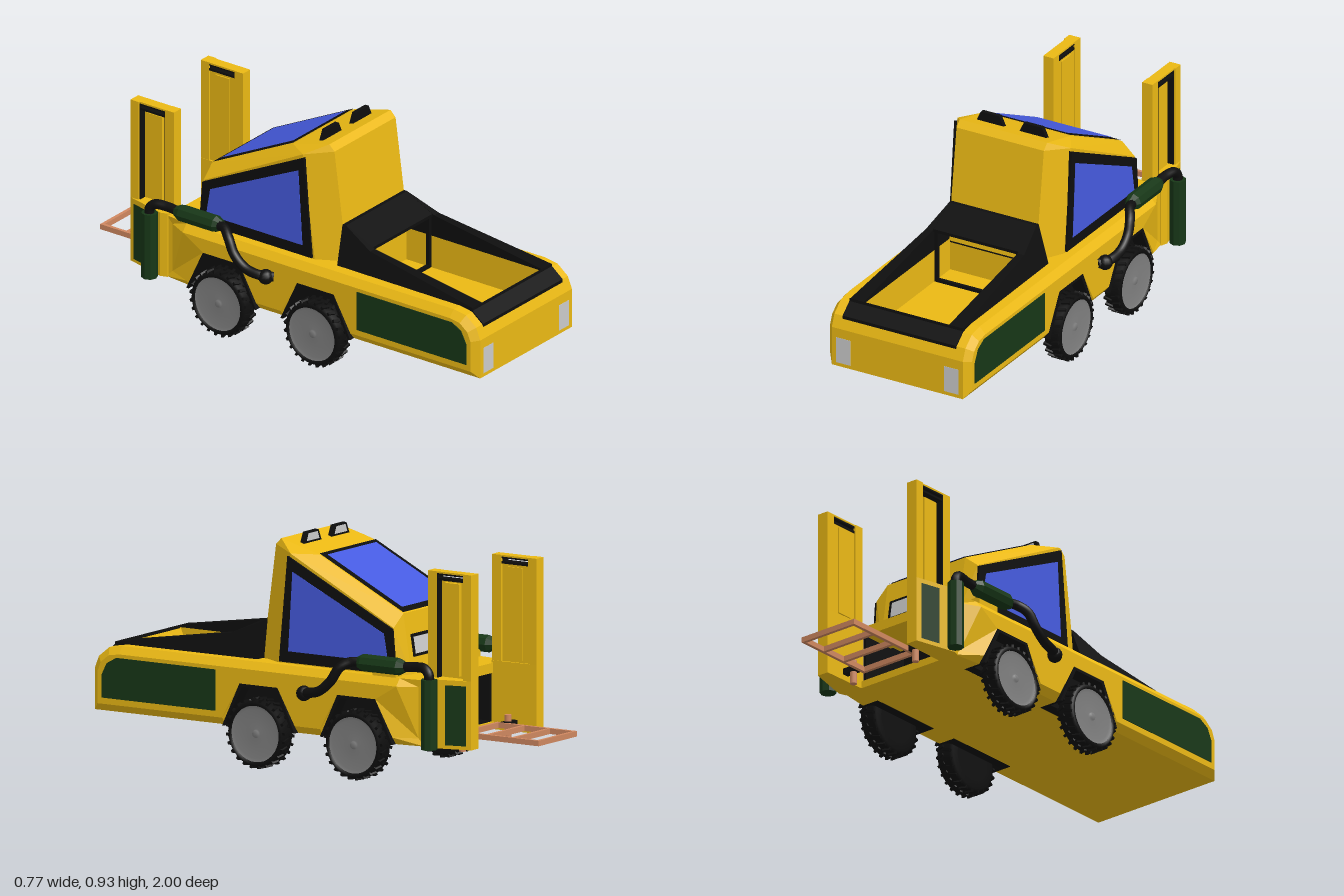
import * as THREE from 'three';
import { mergeGeometries } from 'three/addons/utils/BufferGeometryUtils.js';
import { ConvexGeometry } from 'three/addons/geometries/ConvexGeometry.js';

const mat = (color, flatShading = false) =>
  new THREE.MeshStandardMaterial({ color, flatShading, side: THREE.DoubleSide });
const yellow = mat(0xebb914), black = mat(0x0e0e0e), green = mat(0x173717, true);
const blue = mat(0x465be0), copper = mat(0xd08860), grey = mat(0xcccccc), steel = mat(0x808080);

// Side profile of [z, y] points extruded across x0..x1, with optional chamfer
function profile(points, x0, x1, size = 0, thick = 0) {
  const shape = new THREE.Shape(points.map(([z, y]) => new THREE.Vector2(z, y)));
  const g = new THREE.ExtrudeGeometry(shape, {
    depth: x1 - x0 - 2 * thick, bevelEnabled: size > 0, bevelSize: size,
    bevelOffset: -size, bevelThickness: thick, bevelSegments: 1,
  });
  return g.rotateY(-Math.PI / 2).translate(x1 - thick, 0, 0);
}

// Box given by its extents
const box = (x0, x1, y0, y1, z0, z1) => new THREE.BoxGeometry(x1 - x0, y1 - y0, z1 - z0)
  .translate((x0 + x1) / 2, (y0 + y1) / 2, (z0 + z1) / 2);

// Flat convex panel through 3D corners
function panel(corners) {
  const pos = [];
  for (let i = 1; i < corners.length - 1; i++) pos.push(...corners[0], ...corners[i], ...corners[i + 1]);
  const g = new THREE.BufferGeometry();
  g.setAttribute('position', new THREE.Float32BufferAttribute(pos, 3));
  g.computeVertexNormals();
  return g;
}

// Mirrored copy across x = 0 with corrected winding
function mirror(geometry) {
  const g = geometry.index ? geometry.toNonIndexed() : geometry.clone();
  g.scale(-1, 1, 1);
  for (const a of Object.values(g.attributes)) {
    for (let i = 0; i < a.count; i += 3) {
      for (let k = 0; k < a.itemSize; k++) {
        const t = a.getComponent(i + 1, k);
        a.setComponent(i + 1, k, a.getComponent(i + 2, k));
        a.setComponent(i + 2, k, t);
      }
    }
  }
  return g;
}

const tube = (pts, r) => new THREE.TubeGeometry(
  new THREE.CatmullRomCurve3(pts.map((p) => new THREE.Vector3(...p))), 28, r, 10);

export function createModel() {
  const model = new THREE.Group();
  const add = (name, geometry, material) => {
    const m = new THREE.Mesh(geometry, material);
    m.name = name;
    model.add(m);
  };
  const pair = (name, geometry, material) => {
    add(name + 'Left', geometry, material);
    add(name + 'Right', mirror(geometry), material);
  };

  // Body sides: chamfered rim, square-edged wheel arches, tapering at the rear
  const axles = [0.205, -0.26];
  const arch = (z, s = 0) => [[z - 0.172 + s, 0.155], [z - 0.09 + s, 0.33 - s],
    [z + 0.09 - s, 0.33 - s], [z + 0.172 - s, 0.155]];
  const nose = [[1, 0.155], [1, 0.32], [0.98, 0.37], [0.93, 0.41], [0.87, 0.42]];
  const side = profile([[-0.56, 0.155], ...arch(axles[1]), ...arch(axles[0]), ...nose,
    [-0.45, 0.42], [-0.56, 0.42]], 0.195, 0.325, 0.03, 0.025);
  const p = side.attributes.position;
  const archPoints = axles.flatMap((z) => arch(z));
  for (let i = 0; i < p.count; i++) {
    const z = p.getZ(i), y = p.getY(i);
    const dist = (q) => Math.hypot(q[0] - z, q[1] - y);
    const near = archPoints.reduce((a, b) => (dist(b) < dist(a) ? b : a));
    if (dist(near) < 0.065) {
      p.setZ(i, near[0]);
      if (near[1] > 0.3) p.setY(i, near[1]);
    }
    if (z < -0.5) p.setX(i, Math.min(p.getX(i), 0.285));
  }
  side.computeVertexNormals();
  pair('bodySide', side, yellow);
  for (const z of axles) {
    pair('wheelWell', profile(arch(z), 0.22, 0.265), black);
    pair('archLiner', profile([...arch(z), ...arch(z, 0.012).reverse()], 0.26, 0.326), black);
  }
  pair('sidePanel', profile([[0.95, 0.21], [0.95, 0.3], [0.925, 0.35], [0.88, 0.375],
    [0.41, 0.375], [0.41, 0.21]], 0.32, 0.328), green);

  // Floor with nose, and the rear deck over the tunnel
  add('floorAndNose', profile([[-0.56, 0.155], ...nose.slice(0, 4), [0.925, 0.415], [0.87, 0.28],
    [0.25, 0.28], [0.25, 0.185], [-0.56, 0.185]], -0.225, 0.225), yellow);
  add('rearDeck', box(-0.225, 0.225, 0.38, 0.42, -0.555, -0.4), yellow);
  add('tunnelEnd', box(-0.2, 0.2, 0.18, 0.4, -0.32, -0.3), black);
  pair('tunnelLining', box(0.185, 0.197, 0.18, 0.39, -0.55, -0.3), black);
  add('tunnelFloor', box(-0.19, 0.19, 0.18, 0.19, -0.55, -0.3), black);
  pair('headlight', box(0.215, 0.28, 0.17, 0.28, 0.98, 1.001), grey);
  pair('silencerBracket', box(0.255, 0.3, 0.4, 0.45, -0.43, -0.32), yellow);

  // Load bed lining, black frame under the hood, coaming leaning inward toward the cab
  pair('bedWall', box(0.195, 0.222, 0.27, 0.418, 0.25, 0.93), yellow);
  add('bedBackLower', box(-0.2, 0.2, 0.27, 0.4, 0.25, 0.262), yellow);
  add('bedBackUpper', box(-0.2, 0.2, 0.4, 0.56, 0.25, 0.262), black);
  pair('bedFramePost', box(0.18, 0.196, 0.28, 0.505, 0.37, 0.385), black);
  add('bedFrameSill', box(-0.18, 0.18, 0.275, 0.293, 0.37, 0.385), black);
  const rim = profile([[0.93, 0.4], [0.93, 0.426], [0.4, 0.51], [0.262, 0.575], [0.245, 0.575], [0.26, 0.4]],
    0.195, 0.26);
  const rp = rim.attributes.position;
  for (let i = 0; i < rp.count; i++) {
    if (rp.getX(i) > 0.25) rp.setX(i, 0.26 - 0.06 * Math.max(0, (rp.getY(i) - 0.42) / 0.155));
  }
  rim.computeVertexNormals();
  pair('bedRim', rim, black);
  add('bedHood', profile([[0.39, 0.5], [0.39, 0.513], [0.262, 0.575], [0.245, 0.575], [0.245, 0.55]], -0.2, 0.2), black);
  add('noseStrip', profile([[0.985, 0.36], [0.984, 0.373], [0.932, 0.415], [0.93, 0.427], [0.925, 0.38]],
    -0.26, 0.26), black);

  // Cab hull
  const half = [[0.2, 0.41, 0.268], [0.261, 0.41, 0.155], [0.261, 0.41, -0.41], [0.2, 0.41, -0.44],
    [0.2, 0.88, 0.205], [0.2, 0.905, 0.18], [0.2, 0.857, 0], [0.2, 0.66, -0.4],
    [0.261, 0.86, 0.095], [0.261, 0.61, -0.395]];
  add('cab', new ConvexGeometry(half.flatMap(([x, y, z]) =>
    [new THREE.Vector3(x, y, z), new THREE.Vector3(-x, y, z)])), yellow);

  // Cab windows and rear plate
  pair('sideWindowFrame', profile([[0.145, 0.425], [0.105, 0.85], [-0.395, 0.605], [-0.41, 0.425]],
    0.25, 0.27), black);
  pair('sideWindow', profile([[0.1, 0.47], [0.08, 0.79], [-0.355, 0.585], [-0.375, 0.47]], 0.25, 0.2715), blue);
  const slope = (w, z0, z1, lift) => {
    const y = (z) => 0.857 + z * 0.4925 + lift;
    return panel([[-w, y(z0), z0], [w, y(z0), z0], [w, y(z1), z1], [-w, y(z1), z1]]);
  };
  add('rearWindowFrame', slope(0.198, 0, -0.398, 0.004), black);
  add('rearWindow', slope(0.172, -0.02, -0.375, 0.008), blue);
  const back = (w, y0, y1, lift) => {
    const z = (y) => -0.4 - 0.16 * (0.66 - y) - lift;
    return panel([[-w, y0, z(y0)], [w, y0, z(y0)], [w, y1, z(y1)], [-w, y1, z(y1)]]);
  };
  add('rearPlateFrame', back(0.175, 0.485, 0.575, 0.003), black);
  add('rearPlate', back(0.16, 0.497, 0.563, 0.006), grey);

  // Roof lamps facing backward
  const lamp = new THREE.Shape([[-0.063, 0], [0.063, 0], [0.042, 0.045], [-0.042, 0.045]]
    .map((q) => new THREE.Vector2(...q)));
  const lampGeo = new THREE.ExtrudeGeometry(lamp, { depth: 0.018, bevelEnabled: false }).translate(0.098, 0.883, 0.1);
  pair('roofLamp', lampGeo, black);
  pair('lampGlass', panel([[0.053, 0.892, 0.098], [0.143, 0.892, 0.098], [0.13, 0.922, 0.098],
    [0.066, 0.922, 0.098]]), grey);

  // Lift masts: wide base, two flanges with black inner faces, deep web with a rail, slotted top
  const plan = (pts, y0, y1) => new THREE.ExtrudeGeometry(
    new THREE.Shape(pts.map(([x, z]) => new THREE.Vector2(x, -z))),
    { depth: y1 - y0, bevelEnabled: false }).rotateX(-Math.PI / 2).translate(0, y0, 0);
  pair('mastBase', plan([[0.2, -0.55], [0.205, -0.76], [0.255, -0.76], [0.3, -0.58], [0.29, -0.55]], 0.155, 0.43), yellow);
  pair('mastPanel', panel([[0.284, 0.17, -0.655], [0.263, 0.17, -0.74], [0.263, 0.41, -0.74], [0.284, 0.41, -0.655]]), green);
  pair('mastFlangeFront', box(0.203, 0.25, 0.42, 0.855, -0.593, -0.55), yellow);
  pair('mastFlangeRear', box(0.205, 0.255, 0.42, 0.855, -0.76, -0.72), yellow);
  for (const z of [-0.72, -0.597]) pair('mastLiner', box(0.213, 0.249, 0.43, 0.85, z, z + 0.004), black);
  pair('mastWeb', box(0.211, 0.219, 0.42, 0.82, -0.72, -0.593), yellow);
  pair('mastRail', box(0.206, 0.236, 0.44, 0.81, -0.69, -0.62), yellow);
  pair('mastCap', box(0.205, 0.25, 0.848, 0.855, -0.72, -0.593), yellow);
  for (const [y0, y1] of [[0.82, 0.829], [0.841, 0.848]])
    pair('mastSlot', box(0.207, 0.249, y0, y1, -0.722, -0.591), black);

  // Exhaust: black pipes, silencer and upright tank
  pair('exhaustPipe', tube([[0.325, 0.325, 0], [0.355, 0.33, -0.045], [0.365, 0.345, -0.11], [0.365, 0.39, -0.165],
    [0.355, 0.445, -0.2], [0.33, 0.47, -0.24], [0.32, 0.47, -0.28]], 0.02), black);
  pair('exhaustEnd', new THREE.SphereGeometry(0.031, 12, 8).translate(0.345, 0.325, -0.025), black);
  const silencer = [[0, -0.115], [0.02, -0.115], [0.035, -0.085], [0.035, 0.085], [0.02, 0.115], [0, 0.115]]
    .map((q) => new THREE.Vector2(...q));
  pair('silencer', new THREE.LatheGeometry(silencer, 8).rotateX(Math.PI / 2).translate(0.317, 0.47, -0.375), green);
  pair('tankPipe', tube([[0.317, 0.47, -0.47], [0.315, 0.475, -0.53], [0.325, 0.475, -0.585],
    [0.33, 0.455, -0.608], [0.33, 0.42, -0.61]], 0.02), black);
  pair('tank', new THREE.CylinderGeometry(0.033, 0.033, 0.28, 8).translate(0.33, 0.295, -0.61), green);

  // Fork: ladder frame on two pivot pins
  pair('forkRail', box(0.122, 0.136, 0.178, 0.2, -1, -0.62), copper);
  for (const z of [-0.627, -0.752, -0.873, -0.993])
    add('forkBar', box(-0.13, 0.13, 0.178, 0.2, z - 0.007, z + 0.007), copper);
  pair('forkPin', new THREE.CylinderGeometry(0.014, 0.014, 0.1, 10).translate(0.16, 0.178, -0.655), copper);
  pair('forkHinge', box(0.13, 0.21, 0.178, 0.202, -0.67, -0.64), black);

  // Wheels: tyre with staggered lugs, dished hub and cap
  const tyre = [[0.06, -0.035], [0.12, -0.037], [0.133, -0.028], [0.133, 0.028], [0.127, 0.037],
    [0.113, 0.037], [0.113, 0.025]].map((q) => new THREE.Vector2(...q));
  const parts = [new THREE.LatheGeometry(tyre, 32),
    new THREE.CylinderGeometry(0.09, 0.09, 0.01, 32).translate(0, -0.031, 0)];
  for (let i = 0; i < 48; i++) {
    parts.push(new THREE.BoxGeometry(0.014, 0.034, 0.011).rotateX(i % 2 ? 0.3 : -0.3)
      .translate(0.133, i % 2 ? 0.018 : -0.018, 0).rotateY(i * Math.PI / 24));
  }
  const tyreGeo = mergeGeometries(parts);
  const hub = [[0, 0.034], [0.015, 0.034], [0.018, 0.026], [0.1, 0.03], [0.115, 0.035]]
    .map((q) => new THREE.Vector2(...q));
  for (const z of axles) {
    const place = (g) => g.clone().rotateZ(-Math.PI / 2).translate(0.3125, 0.14, z);
    pair('tyre', place(tyreGeo), black);
    pair('hub', place(new THREE.LatheGeometry(hub, 32)), steel);
  }
  return model;
}
